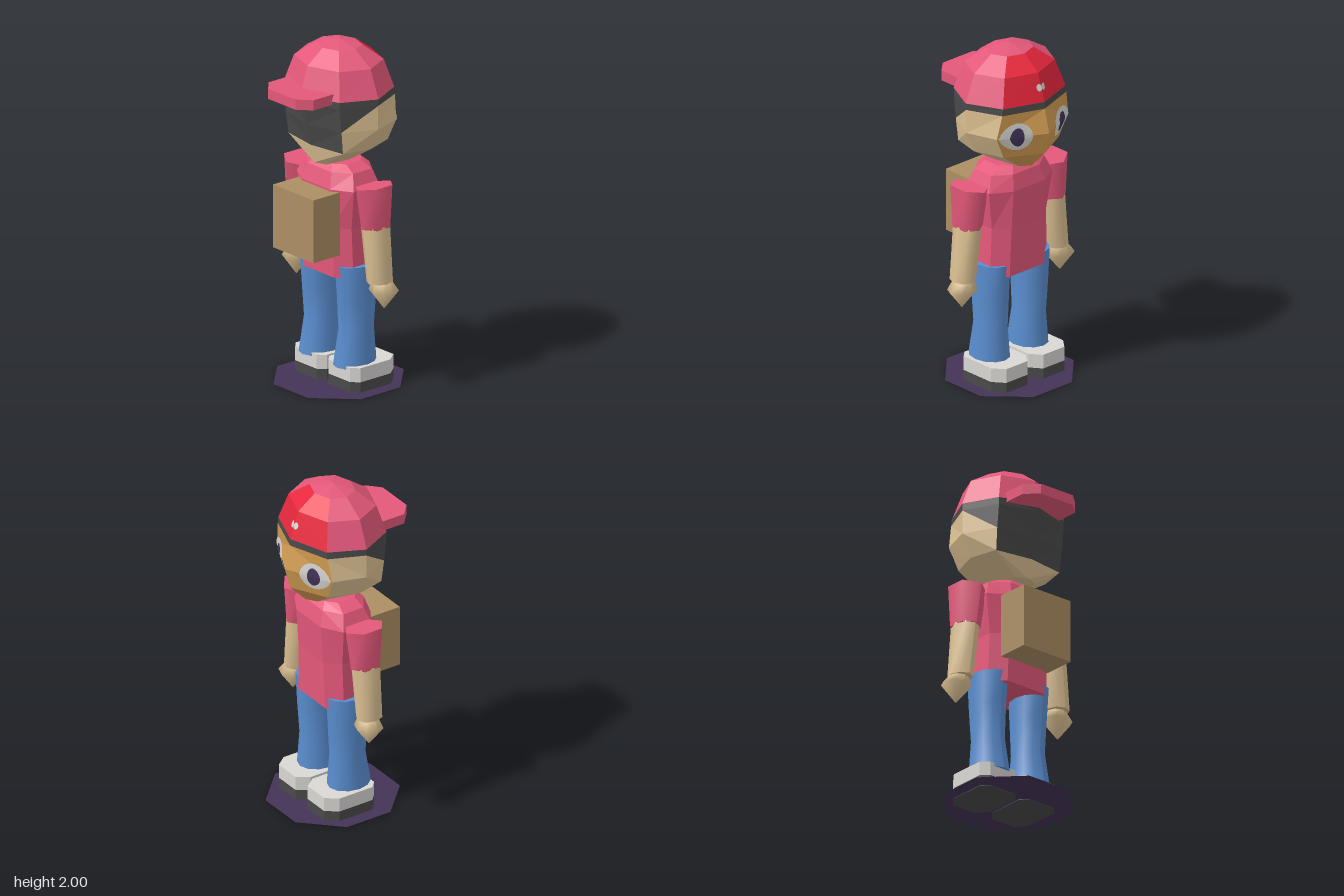
import * as THREE from 'three';

const mat = (name, color, side = THREE.FrontSide) => {
  const m = new THREE.MeshStandardMaterial({ color, side });
  m.name = name;
  return m;
};

// Joins rings of points (bottom to top) into flat facets; pick(row, col, half) gives a material index.
function loft(rings, pick = () => 0) {
  const n = rings[0].length, buckets = [];
  const tri = (k, ...pts) => (buckets[k] ??= []).push(...pts.flat());
  for (let r = 0; r < rings.length - 1; r++) {
    for (let j = 0; j < n; j++) {
      const k = (j + 1) % n;
      const a = rings[r][j], b = rings[r][k], c = rings[r + 1][k], d = rings[r + 1][j];
      if (j < n / 2) {
        tri(pick(r, j, 0), a, d, b);
        tri(pick(r, j, 1), b, d, c);
      } else {
        tri(pick(r, j, 0), a, c, b);
        tri(pick(r, j, 1), a, d, c);
      }
    }
  }
  const lo = rings[0], hi = rings[rings.length - 1];
  for (let j = 1; j < n - 1; j++) {
    tri(pick(0, 2, 0), lo[0], lo[j], lo[j + 1]);
    tri(pick(rings.length - 2, 2, 1), hi[0], hi[j + 1], hi[j]);
  }
  const g = new THREE.BufferGeometry();
  let start = 0;
  buckets.forEach((b, i) => {
    g.addGroup(start, b.length / 3, i);
    start += b.length / 3;
  });
  g.setAttribute('position', new THREE.Float32BufferAttribute(buckets.flat(), 3));
  g.computeVertexNormals();
  return g;
}

// Mirrored eight-point ring: face ridge, face corner, side, rear corner, rear ridge.
const ring8 = (y, zFace, [cx, cz], [sx, sz], [dx, dz], zRear) => [
  [0, y, zFace], [cx, y, cz], [sx, y, sz], [dx, y, dz],
  [0, y, zRear], [-dx, y, dz], [-sx, y, sz], [-cx, y, cz]];

// Smooth tapering limb through sections [x, y, z, radiusX, radiusZ], bottom to top.
function limb(sections, sides, turn = 0) {
  const g = new THREE.CylinderGeometry(1, 1, 1, sides, sections.length - 1);
  const p = g.attributes.position;
  for (let i = 0; i < p.count; i++) {
    const [x, y, z, rx, rz] = sections[Math.round((p.getY(i) + 0.5) * (sections.length - 1))];
    const a = Math.atan2(p.getZ(i), p.getX(i)) + turn;
    const r = Math.hypot(p.getX(i), p.getZ(i));
    p.setXYZ(i, x + Math.cos(a) * rx * r, y, z + Math.sin(a) * rz * r);
  }
  g.computeVertexNormals();
  return g;
}

// Flat slab from an outline of [x, z] points.
function slab(points, y0, y1) {
  const s = new THREE.Shape(points.map(([x, z]) => new THREE.Vector2(x, -z)));
  return new THREE.ExtrudeGeometry(s, { depth: y1 - y0, bevelEnabled: false })
    .rotateX(-Math.PI / 2).translate(0, y0, 0);
}

export function createModel() {
  const pink = mat('pink cloth', 0xe4587a), red = mat('red cap panel', 0xe6273c);
  const dark = mat('dark hair and soles', 0x4a4a4a), skin = mat('skin', 0xdcc092);
  const tan = mat('face tan', 0xd29c52), brown = mat('pack brown', 0xac8e64);
  const blue = mat('denim blue', 0x5a8ed0);
  const white = mat('white', 0xd8d7d3, THREE.DoubleSide);
  const purple = mat('dark purple', 0x443458, THREE.DoubleSide);
  const model = new THREE.Group();
  const add = (name, geometry, material) => {
    const m = new THREE.Mesh(geometry, material);
    m.name = name;
    model.add(m);
    return m;
  };

  // Head with hair panels at the rear and the face on the -z facets
  const head = [
    ring8(1.31, -0.23, [0.06, -0.19], [0.09, -0.05], [0.07, 0.1], 0.13),
    ring8(1.42, -0.335, [0.21, -0.225], [0.27, -0.05], [0.23, 0.12], 0.155),
    ring8(1.55, -0.37, [0.27, -0.235], [0.33, -0.05], [0.235, 0.135], 0.185),
    ring8(1.69, -0.335, [0.242, -0.25], [0.33, -0.05], [0.235, 0.15], 0.215),
    ring8(1.73, -0.333, [0.238, -0.25], [0.33, -0.05], [0.235, 0.15], 0.225),
  ];
  add('head', loft(head, (row, col, half) => {
    if (row === 3) return 1;
    if (col === 0 || col === 7) return 2;
    if ((col === 3 || col === 4) && row > 0) return 1;
    return row === 2 && (col === 2 || col === 5) && half === 1 ? 1 : 0;
  }), [skin, dark, tan]);

  // Cap dome
  const capRing = (y, rx, rz) =>
    ring8(y, -0.05 - rz, [rx * 0.71, -0.05 - rz * 0.71], [rx, -0.05],
      [rx * 0.71, -0.05 + rz * 0.71], -0.05 + rz);
  add('cap', loft([capRing(1.73, 0.333, 0.282), capRing(1.89, 0.268, 0.23),
    capRing(1.97, 0.14, 0.12), capRing(2, 0.002, 0.002)],
  (row, col) => (row < 2 && (col === 0 || col === 7) ? 1 : 0)), [pink, red]);
  add('capBrim', slab([[-0.19, 0.1], [-0.19, 0.3], [-0.115, 0.368], [0.115, 0.368],
    [0.19, 0.3], [0.19, 0.1]], 1.71, 1.77), pink);

  // Eyes and cap patch, wrapped onto the facets between two rings
  const decal = (name, lower, mid, upper, yMid, side, u0, ru, ry, y0, material) => {
    const g = new THREE.CircleGeometry(1, 16), p = g.attributes.position;
    for (let i = 0; i < p.count; i++) {
      const u = u0 + p.getX(i) * ru, y = y0 + p.getY(i) * ry;
      const other = y < yMid ? lower : upper;
      const t = (y - yMid) / (other[0][1] - yMid);
      const at = (k, c) => THREE.MathUtils.lerp(mid[k][c], other[k][c], t);
      p.setXYZ(i, side * THREE.MathUtils.lerp(at(0, 0), at(1, 0), u), y,
        THREE.MathUtils.lerp(at(0, 2), at(1, 2), u));
    }
    if (side > 0) g.index.array.reverse();
    g.computeVertexNormals();
    return add(name, g, material);
  };
  for (const side of [1, -1]) {
    const [, low, mid, high] = head;
    decal('eyeWhite', low, mid, high, 1.55, side, 0.64, 0.33, 0.085, 1.55, white)
      .position.set(side * 0.002, 0, -0.005);
    decal('pupil', low, mid, high, 1.55, side, 0.62, 0.14, 0.058, 1.55, purple)
      .position.set(side * 0.004, 0, -0.009);
    const c0 = capRing(1.73, 0.333, 0.282), c1 = capRing(1.89, 0.268, 0.23);
    decal('capPatch', c0, c0, c1, 1.73, side, 0.07, 0.07, 0.02, 1.81, white)
      .position.set(0, 0.002, -0.005);
  }

  // Shirt
  const shirtRing = (y, a, w, zRear, zFace, cut) => [
    [-a, y, zFace], [a, y, zFace], [w, y, zFace + cut], [w, y, zRear - cut],
    [a, y, zRear], [-a, y, zRear], [-w, y, zRear - cut], [-w, y, zFace + cut]];
  add('shirt', loft([
    shirtRing(0.66, 0.13, 0.215, 0.1, -0.19, 0.07),
    shirtRing(0.95, 0.12, 0.205, 0.105, -0.195, 0.07),
    shirtRing(1.18, 0.12, 0.24, 0.12, -0.21, 0.07),
    shirtRing(1.27, 0.1, 0.2, 0.09, -0.185, 0.07),
    shirtRing(1.305, 0.07, 0.13, 0.06, -0.15, 0.05),
  ]), pink);

  // Backpack
  add('backpack', new THREE.BoxGeometry(0.34, 0.37, 0.195).translate(0, 0.985, 0.1875), brown);

  for (const s of [1, -1]) {
    // Arms: short sleeve, forearm and pointed fist
    add('sleeve', limb([[s * 0.314, 0.98, -0.045, 0.08, 0.097],
      [s * 0.3, 1.215, -0.045, 0.1, 0.122]], 6), pink)
      .geometry.attributes.position.array.forEach((v, i, arr) => {
        // Shoulder top rises outward
        if (i % 3 === 1 && v > 1.2) arr[i] += (Math.abs(arr[i - 1]) - 0.3) * 0.15;
      });
    add('forearm', limb([[s * 0.35, 0.665, -0.045, 0.068, 0.078],
      [s * 0.314, 0.99, -0.045, 0.073, 0.088]], 8), skin);
    add('hand', limb([[s * 0.37, 0.51, -0.06, 0.003, 0.003],
      [s * 0.367, 0.615, -0.06, 0.091, 0.078],
      [s * 0.355, 0.672, -0.055, 0.055, 0.055]], 8), skin);

    // Trouser leg
    add('trouserLeg', limb([[s * 0.145, 0.13, -0.04, 0.108, 0.13],
      [s * 0.145, 0.34, -0.05, 0.09, 0.105],
      [s * 0.148, 0.53, -0.05, 0.095, 0.118],
      [s * 0.148, 0.725, -0.048, 0.1, 0.132]], 12), blue);

    // Shoe: white upper on a dark sole
    const shoe = [[0.01, 0.03], [0.05, 0.07], [0.23, 0.07], [0.273, 0.03],
      [0.273, -0.19], [0.22, -0.258], [0.06, -0.258], [0.01, -0.19]].map(([x, z]) => [s * x, z]);
    add('shoeUpper', slab(shoe, 0.065, 0.148), white);
    add('shoeSole', slab(shoe, 0, 0.065), dark);
  }

  // Flat octagonal base just above the soles' underside
  add('base', new THREE.CircleGeometry(0.38, 8, Math.PI / 8)
    .rotateX(-Math.PI / 2).translate(0, 0.004, -0.048), purple);

  return model;
}
